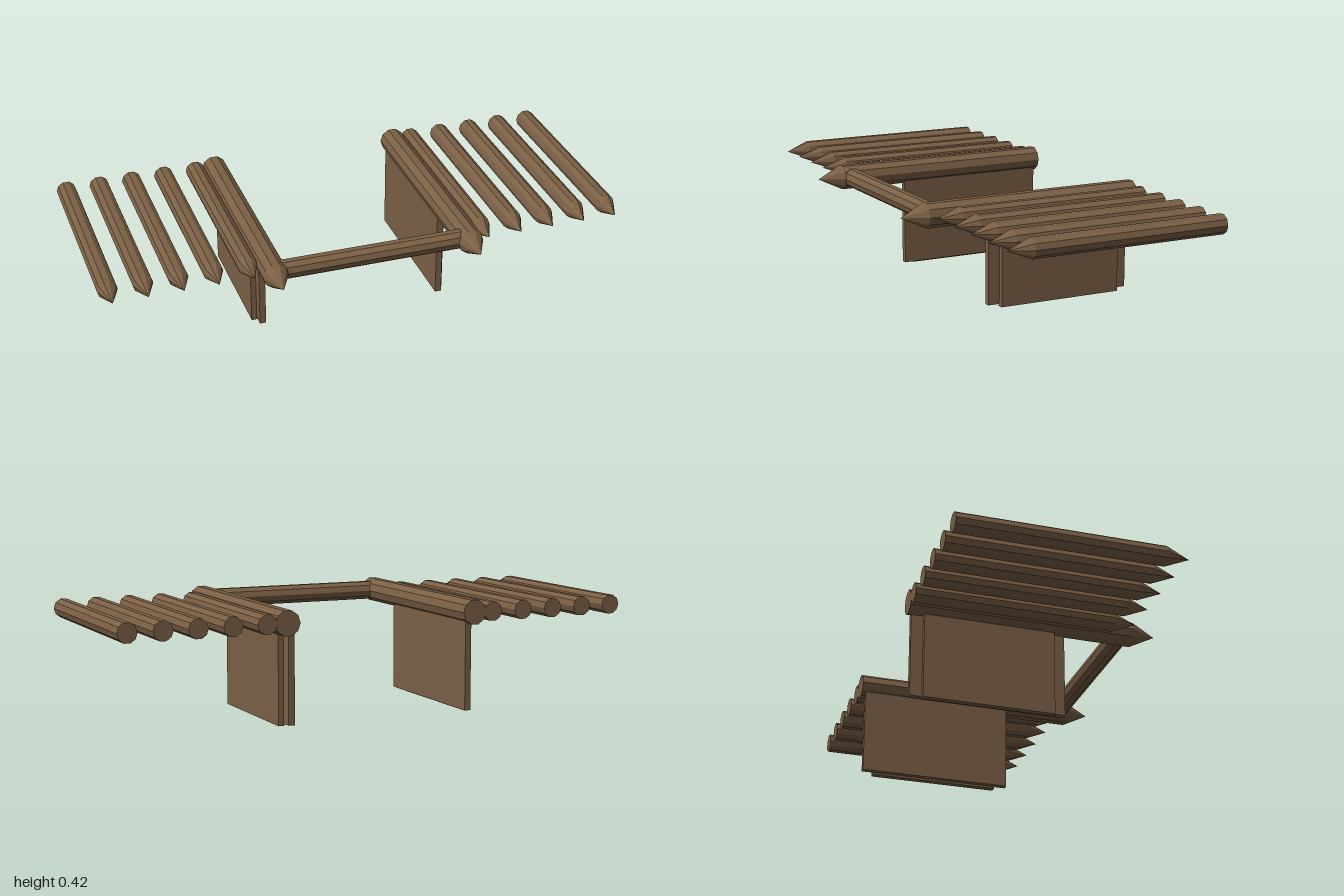
import * as THREE from 'three';

export function createModel() {
  const model = new THREE.Group();
  model.name = 'stakeFrame';
  const wood = new THREE.MeshStandardMaterial({ color: 0x7b6045, flatShading: true });
  wood.name = 'brown wood';

  const SIDES = 10;
  const LOG_Y = 0.375;
  const BACK = -0.48;

  const add = (name, geometry, x, y, z) => {
    const mesh = new THREE.Mesh(geometry, wood);
    mesh.name = name;
    mesh.position.set(x, y, z);
    model.add(mesh);
  };

  // Log lying along z, closed at the back and sharpened at the front
  const sharpLog = (radius, shoulder, tip) => {
    const profile = [[0, BACK], [radius, BACK], [radius, shoulder], [0, tip]]
      .map(([r, l]) => new THREE.Vector2(r, l));
    return new THREE.LatheGeometry(profile, SIDES, Math.PI / 2).rotateX(Math.PI / 2);
  };

  const beam = sharpLog(0.0475, 0.38, 0.475);
  const stake = sharpLog(0.037, 0.28, 0.37);
  const innerBoard = new THREE.BoxGeometry(0.024, 0.36, 0.585);
  const outerBoard = new THREE.BoxGeometry(0.024, 0.37, 0.495);

  for (const [label, side] of [['left', 1], ['right', -1]]) {
    // Heavy side beam
    add(label + 'Beam', beam, side * 0.374, LOG_Y, 0);

    // Row of thinner stakes spreading outwards
    for (let i = 0; i < 5; i++) {
      add(label + 'Stake' + (i + 1), stake, side * (0.451 + i * 0.128), LOG_Y, 0);
    }

    // Two overlapping boards under the beam
    add(label + 'InnerBoard', innerBoard, side * 0.355, 0.188, -0.1725);
    add(label + 'OuterBoard', outerBoard, side * 0.375, 0.185, -0.1725);
  }

  // Crossbar joining the beams at the front
  const bar = new THREE.CylinderGeometry(0.037, 0.037, 0.72, SIDES).rotateZ(Math.PI / 2);
  add('crossbar', bar, 0, LOG_Y, 0.343);

  return model;
}
